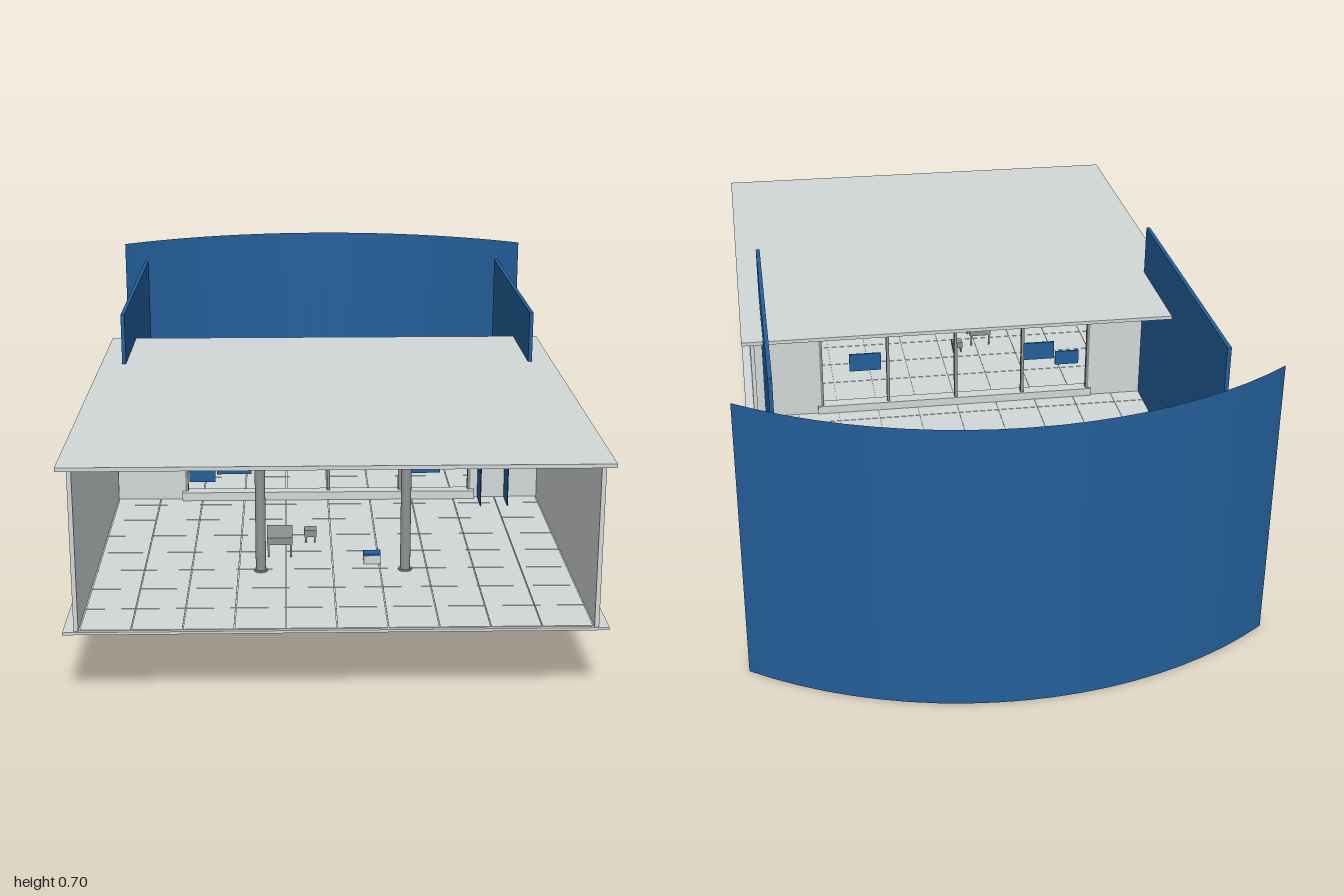
import * as THREE from 'three';
import { ConvexGeometry } from 'three/addons/geometries/ConvexGeometry.js';

export function createModel() {
  const model = new THREE.Group();
  const mat = (name, color, extra = {}) => {
    const m = new THREE.MeshStandardMaterial({ color, ...extra });
    m.name = name;
    return m;
  };
  const pale = mat('pale plaster', 0xd2d8d7);
  const grey = mat('frame grey', 0x8f9292);
  const blue = mat('deep blue', 0x235f9a, { side: THREE.DoubleSide });
  const rockBlue = mat('rock blue', 0x235f99, { flatShading: true });

  const add = (name, geometry, material, x = 0, y = 0, z = 0, parent = model) => {
    const mesh = new THREE.Mesh(geometry, material);
    mesh.name = name;
    mesh.position.set(x, y, z);
    parent.add(mesh);
    return mesh;
  };
  // Box given by its extents on each axis
  const box = (name, m, x0, x1, y0, y1, z0, z1, parent = model) =>
    add(name, new THREE.BoxGeometry(x1 - x0, y1 - y0, z1 - z0), m,
      (x0 + x1) / 2, (y0 + y1) / 2, (z0 + z1) / 2, parent);

  // House shell: floor, roof and side walls, open at the front
  box('floorSlab', pale, -0.595, 0.585, 0.172, 0.178, -0.18, 1);
  box('roof', pale, -0.595, 0.585, 0.54, 0.549, -0.18, 1);
  for (const s of [-1, 1]) {
    const x = s * 0.562 - 0.004;
    box('sideWall', pale, x - 0.005, x + 0.005, 0.178, 0.54, -0.175, 0.995);
  }

  // Floor tiles
  const tiles = new THREE.Group();
  tiles.name = 'floorTiles';
  model.add(tiles);
  const tileX = 1.11 / 10, tileZ = 1.17 / 10;
  for (let i = 0; i < 10; i++) for (let j = 0; j < 10; j++) {
    const x = -0.559 + i * tileX, z = -0.177 + j * tileZ;
    box('tile', pale, x + 0.001, x + tileX - 0.001, 0.178, 0.18, z + 0.001, z + tileZ - 0.001, tiles);
  }

  // Rear wall with a wide opening
  const wall = new THREE.Shape();
  wall.moveTo(-0.56, 0.178).lineTo(0.555, 0.178).lineTo(0.555, 0.54).lineTo(-0.56, 0.54).closePath();
  const hole = new THREE.Path();
  hole.moveTo(-0.383, 0.182).lineTo(-0.383, 0.5).lineTo(0.376, 0.5).lineTo(0.376, 0.182).closePath();
  wall.holes.push(hole);
  add('rearWall', new THREE.ExtrudeGeometry(wall, { depth: 0.012, bevelEnabled: false }), pale, 0, 0, 0.111);

  // Sliding door frames, sill and blind box
  box('sill', pale, -0.39, 0.385, 0.18, 0.202, 0.105, 0.14);
  box('blindBox', blue, -0.386, 0.38, 0.492, 0.5, 0.108, 0.13);
  box('headRail', grey, -0.383, 0.376, 0.482, 0.492, 0.111, 0.125);
  for (const x of [-0.379, -0.192, -0.003, 0.187, 0.372])
    box('doorStile', grey, x - 0.004, x + 0.004, 0.2, 0.484, 0.111, 0.125);

  // Round columns with base and cap discs
  for (const x of [-0.174, 0.166]) {
    add('column', new THREE.CylinderGeometry(0.012, 0.012, 0.36, 24), grey, x, 0.36, 0.65);
    for (const y of [0.182, 0.538])
      add('columnDisc', new THREE.CylinderGeometry(0.016, 0.016, 0.004, 24), grey, x, y, 0.65);
  }

  // Ceiling lights
  for (const x of [-0.265, -0.095, 0.098, 0.275]) for (const z of [0.35, 0.75])
    box('ceilingLight', pale, x - 0.036, x + 0.036, 0.536, 0.54, z - 0.036, z + 0.036);

  // Hanging display panels and two thin partitions
  for (const [x0, x1, y0, y1] of [[-0.368, -0.3, 0.247, 0.288], [-0.296, -0.205, 0.268, 0.32], [0.2, 0.289, 0.268, 0.32]])
    box('displayPanel', blue, x0, x1, y0, y1, 0.18, 0.185);
  for (const x of [0.396, 0.467])
    box('partition', blue, x - 0.001, x + 0.001, 0.18, 0.323, 0.124, 0.2);

  // Small tables on legs, and a stool
  const table = (name, x, z, w, d, h) => {
    const g = new THREE.Group();
    g.name = name;
    g.position.set(x, 0.18, z);
    model.add(g);
    box('tableTop', grey, -w / 2, w / 2, h - 0.018, h, -d / 2, d / 2, g);
    for (const sx of [-1, 1]) for (const sz of [-1, 1])
      add('tableLeg', new THREE.BoxGeometry(0.004, h - 0.018, 0.004), grey,
        sx * (w / 2 - 0.004), (h - 0.018) / 2, sz * (d / 2 - 0.004), g);
  };
  table('table', -0.13, 0.52, 0.062, 0.09, 0.05);
  table('sideTable', -0.055, 0.45, 0.03, 0.03, 0.032);
  box('stool', pale, 0.07, 0.11, 0.18, 0.2, 0.585, 0.615);
  box('stoolSeat', blue, 0.07, 0.11, 0.2, 0.205, 0.585, 0.615);

  // Blue ground plate and tall side screens behind the house
  box('groundPlate', blue, -0.535, 0.53, 0.142, 0.15, -0.648, 0.11);
  for (const x of [-0.535, 0.526])
    box('sideScreen', blue, x - 0.005, x + 0.005, 0.145, 0.68, -0.645, 0.115);

  // Curved backdrop, bulging to the rear
  const R = 1.045, half = Math.asin(0.615 / R);
  add('curvedBackdrop', new THREE.CylinderGeometry(R, R, 0.705, 20, 1, true, Math.PI - half, 2 * half),
    blue, 0, 0.3525, R - 1);

  // Faceted rocks: hulls of seeded points on an ellipsoid
  let seed = 7;
  const rand = () => (seed = (seed * 16807) % 2147483647) / 2147483647;
  const rock = (x, y, z, rx, ry, rz, turn) => {
    const pts = [];
    for (let i = 0; i < 18; i++) {
      const v = 1 - (2 * (i + 0.5)) / 18, a = i * 2.4 + rand() * 0.5;
      const r = Math.sqrt(1 - v * v), k = 0.9 + rand() * 0.16;
      pts.push(new THREE.Vector3(Math.cos(a) * r * rx * k, v * ry * k, Math.sin(a) * r * rz * k));
    }
    add('rock', new ConvexGeometry(pts), rockBlue, x, y, z).rotation.y = turn;
  };
  rock(-0.455, 0.175, -0.47, 0.115, 0.058, 0.08, 0.1);
  rock(-0.34, 0.19, -0.585, 0.085, 0.045, 0.045, -0.95);
  rock(-0.135, 0.185, -0.545, 0.12, 0.06, 0.085, 0.3);
  rock(0.035, 0.18, -0.505, 0.11, 0.05, 0.065, -0.7);
  rock(0.17, 0.18, -0.51, 0.085, 0.052, 0.065, 0.8);
  rock(0.3, 0.185, -0.58, 0.1, 0.055, 0.075, -0.1);
  rock(0.505, 0.195, -0.5, 0.13, 0.055, 0.075, 0.65);

  return model;
}
